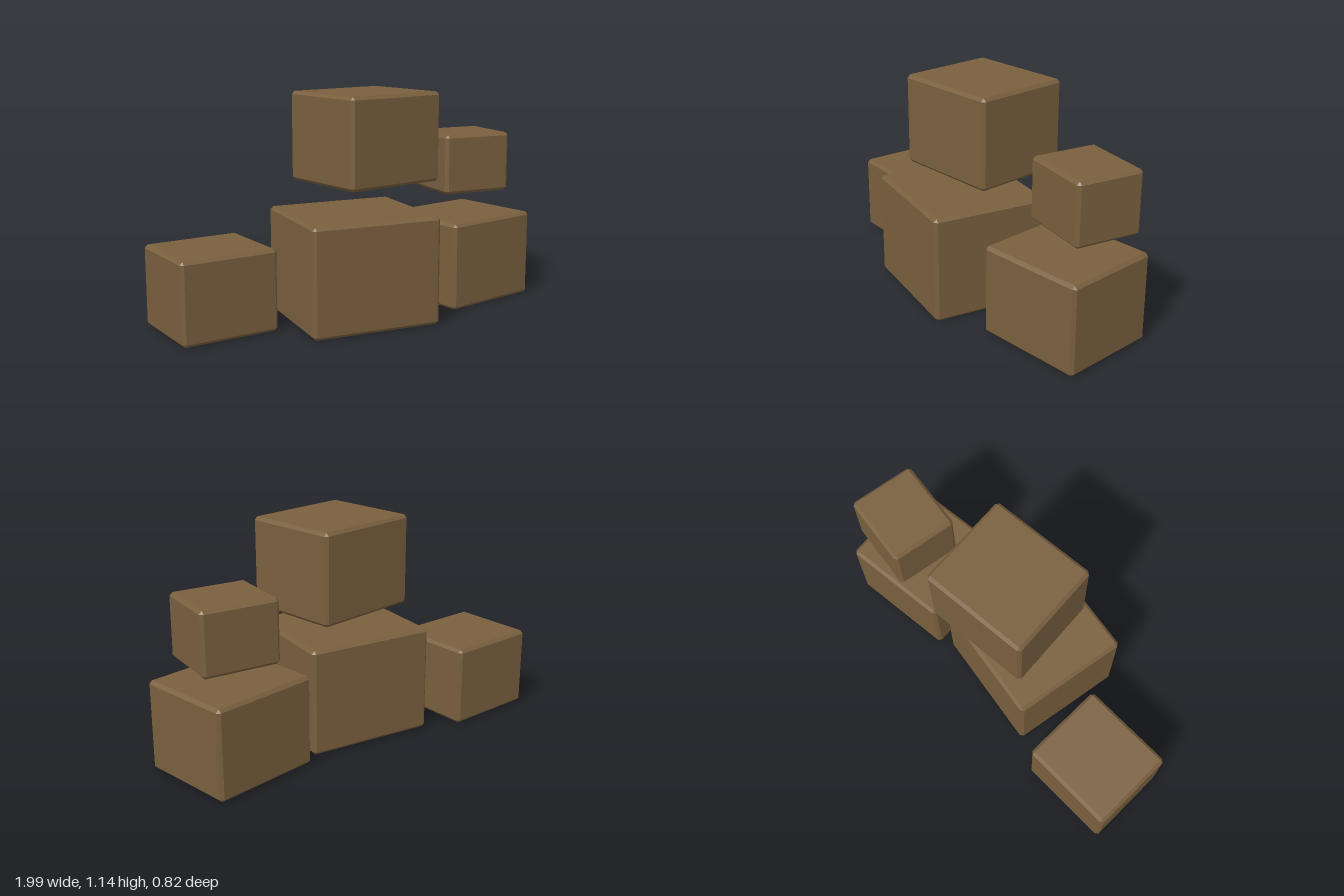
import * as THREE from 'three';
import { ConvexGeometry } from 'three/addons/geometries/ConvexGeometry.js';

// Box with a single flat chamfer on every edge, standing on y = 0
function chamferedBox(w, h, d, b) {
  const pts = [];
  for (const sx of [-1, 1]) for (const sy of [-1, 1]) for (const sz of [-1, 1]) {
    for (let full = 0; full < 3; full++) {
      const x = w / 2 - (full === 0 ? 0 : b);
      const y = h / 2 - (full === 1 ? 0 : b);
      const z = d / 2 - (full === 2 ? 0 : b);
      pts.push(new THREE.Vector3(sx * x, sy * y + h / 2, sz * z));
    }
  }
  return new ConvexGeometry(pts);
}

export function createModel() {
  const model = new THREE.Group();
  model.name = 'crateStack';
  const brown = new THREE.MeshStandardMaterial({ color: 0x795f3e });
  brown.name = 'crate brown';

  // Each crate: size, base position and turn about the vertical
  const crates = [
    { name: 'rightCrate', size: [0.505, 0.413, 0.453], at: [-0.741, 0, -0.18], turn: -0.015 },
    { name: 'middleCrate', size: [0.677, 0.55, 0.615], at: [-0.053, 0, 0.05], turn: -0.173 },
    { name: 'leftCrate', size: [0.572, 0.458, 0.516], at: [0.691, 0, -0.008], turn: 0.092 },
    { name: 'upperMiddleCrate', size: [0.568, 0.455, 0.51], at: [0.058, 0.69, -0.005], turn: 0.076 },
    { name: 'upperLeftCrate', size: [0.39, 0.318, 0.35], at: [0.745, 0.576, -0.063], turn: -0.157 },
  ];
  for (const { name, size, at, turn } of crates) {
    const crate = new THREE.Mesh(chamferedBox(...size, 0.016), brown);
    crate.name = name;
    crate.position.set(...at);
    crate.rotation.y = turn;
    model.add(crate);
  }
  return model;
}
